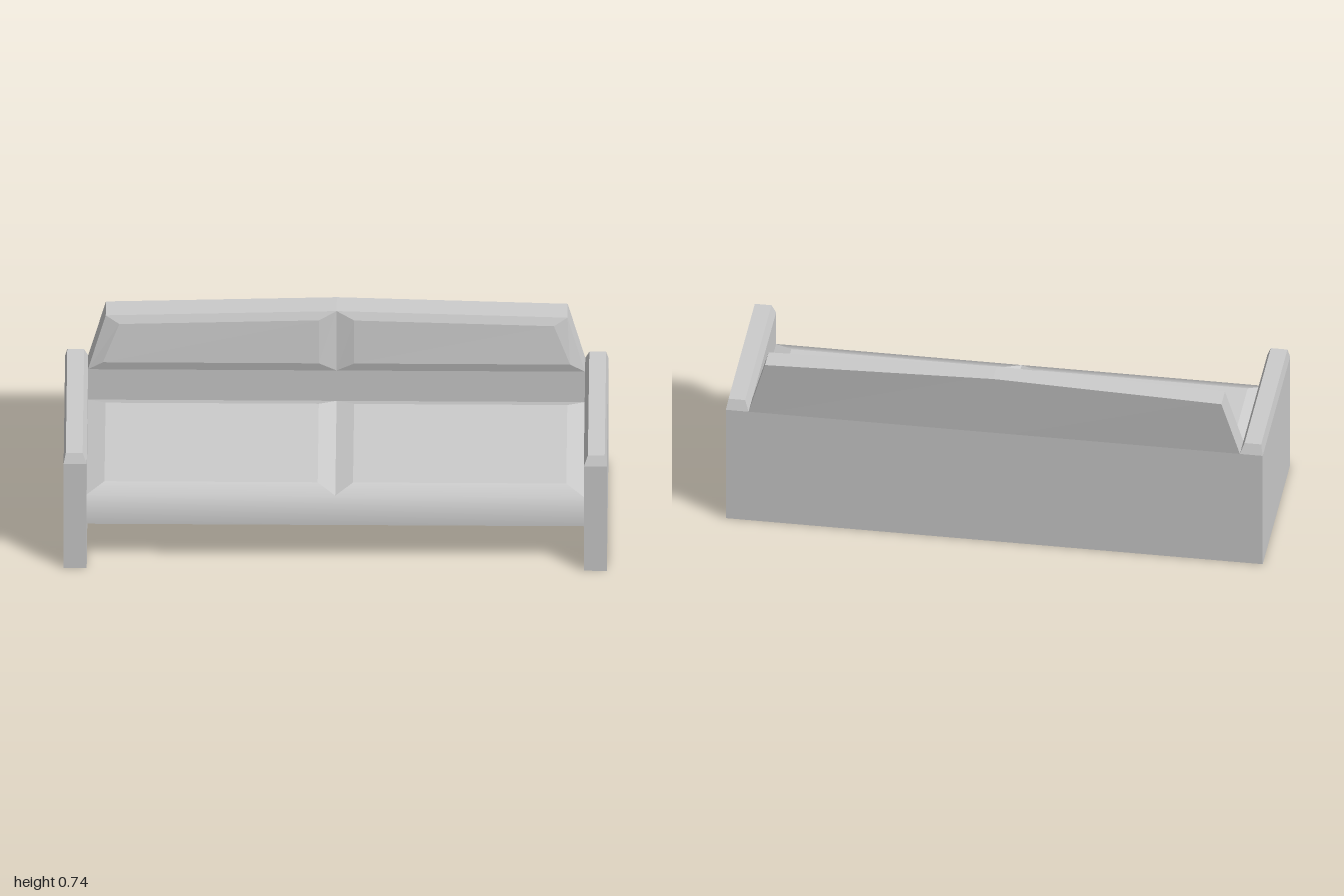
import * as THREE from 'three';

const material = new THREE.MeshStandardMaterial({ color: 0xcccccc });

function addMesh(group, name, geometry) {
  const mesh = new THREE.Mesh(geometry, material);
  mesh.name = name;
  group.add(mesh);
  return mesh;
}

// Joins closed sections (rings of [x, y, z], ordered front, up, back) running
// from the middle to +x, mirrors them to -x and closes both ends.
function loftMirrored(half) {
  const mirrored = half.slice(1).reverse().map((s) => s.map(([x, y, z]) => [-x, y, z]));
  const rings = [...mirrored, ...half].map((s) => s.map((p) => new THREE.Vector3(...p)));
  const out = [];
  const tri = (a, b, c) => {
    if (new THREE.Triangle(a, b, c).getArea() > 1e-7) out.push(a, b, c);
  };
  const n = rings[0].length;
  for (let i = 0; i < rings.length - 1; i++) {
    for (let j = 0; j < n; j++) {
      const k = (j + 1) % n;
      const a = rings[i][j], b = rings[i + 1][j], c = rings[i + 1][k], d = rings[i][k];
      tri(a, b, c);
      tri(a, c, d);
    }
  }
  const first = rings[0], last = rings[rings.length - 1];
  for (let j = 1; j < n - 1; j++) {
    tri(first[0], first[j], first[j + 1]);
    tri(last[0], last[j + 1], last[j]);
  }
  const geometry = new THREE.BufferGeometry().setFromPoints(out);
  geometry.computeVertexNormals();
  return geometry;
}

// Seat: two padded halves, with bevels meeting in a mitre at seam and ends
function seatGeometry() {
  const section = (x, padded) => {
    const front = [x, 0.34, 0.345], back = [x, 0.34, -0.235];
    return [
      [x, 0.205, 0.345],
      front,
      padded ? [x, 0.36, 0.29] : front,
      padded ? [x, 0.36, -0.19] : back,
      back,
      [x, 0.205, -0.235],
    ];
  };
  const geometry = loftMirrored([
    section(0, false), section(0.065, true), section(0.85, true), section(0.915, false),
  ]);
  // Soften the front edge where bevel and front face meet
  const p = geometry.attributes.position, nor = geometry.attributes.normal;
  for (let i = 0; i < p.count; i++) {
    const onEdge = Math.abs(p.getY(i) - 0.34) < 1e-4 && p.getZ(i) > 0.34;
    if (onEdge && nor.getZ(i) > 0.2) nor.setXYZ(i, 0, 0.6, 0.8);
  }
  return geometry;
}

// Backrest: leaning, padded on its front, with a peaked top and slanted ends
function backrestGeometry() {
  const section = (xBottom, xTop, padded) => {
    const top = 0.735 - 0.025 * xTop / 0.85;
    const low = [xBottom, 0.48, -0.235], high = [xTop, top, -0.26];
    return [
      low,
      padded ? [xBottom, 0.52, -0.225] : low,
      padded ? [xTop, top - 0.03, -0.245] : high,
      high,
      [xTop, top, -0.345],
      [xBottom, 0.48, -0.32],
    ];
  };
  return loftMirrored([
    section(0, 0, false), section(0.065, 0.065, true),
    section(0.86, 0.8, true), section(0.915, 0.85, false),
  ]);
}

// Arm: a slab with bevelled top edges, wider bevel on the inner side
function armGeometry(side) {
  const box = new THREE.BoxGeometry(0.085, 0.52, 0.665, 1, 2, 1);
  const p = box.attributes.position;
  for (let i = 0; i < p.count; i++) {
    const y = p.getY(i);
    if (Math.abs(y) < 0.01) p.setY(i, 0.22);
    if (y > 0.2) {
      const x = p.getX(i);
      p.setX(i, x - Math.sign(x) * (x * side > 0 ? 0.008 : 0.015));
      p.setZ(i, p.getZ(i) - Math.sign(p.getZ(i)) * 0.015);
    }
  }
  const geometry = box.toNonIndexed();
  geometry.computeVertexNormals();
  return geometry;
}

export function createModel() {
  const sofa = new THREE.Group();
  sofa.name = 'sofa';

  addMesh(sofa, 'seat', seatGeometry());
  addMesh(sofa, 'backrest', backrestGeometry());

  // Upright panel behind and below the seat
  const panel = addMesh(sofa, 'backPanel', new THREE.BoxGeometry(1.83, 0.48, 0.085));
  panel.position.set(0, 0.24, -0.2775);

  for (const side of [-1, 1]) {
    const arm = addMesh(sofa, side > 0 ? 'leftArm' : 'rightArm', armGeometry(side));
    arm.position.set(side * 0.9575, 0.26, 0.0125);
  }
  return sofa;
}
